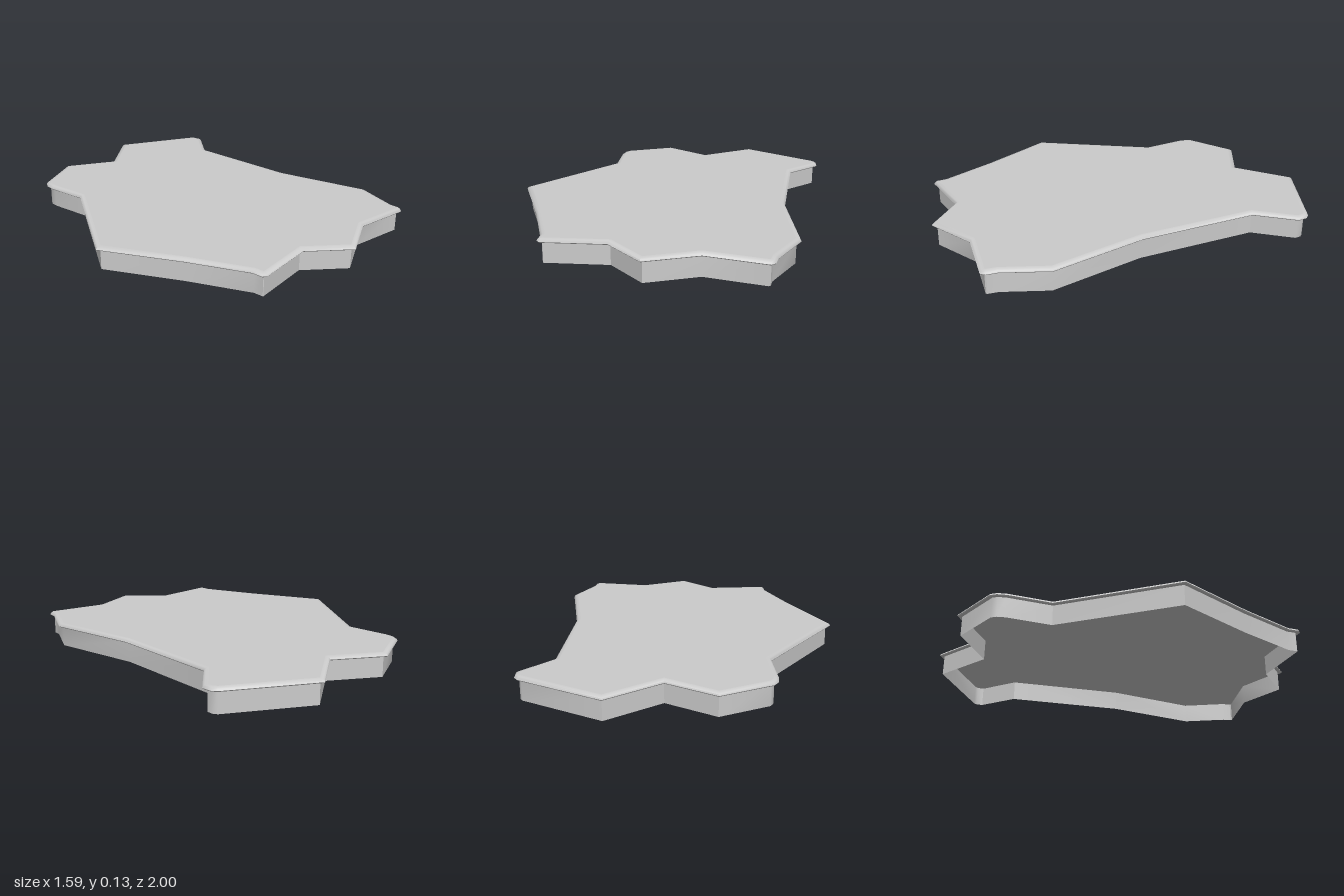
import * as THREE from 'three';
import { toCreasedNormals } from 'three/addons/utils/BufferGeometryUtils.js';

// Outline of the slab, as [x, z], clockwise seen from above
const outline = [
  [-0.18, -0.93], [0.075, -0.79], [0.335, -1], [0.765, -0.785], [0.785, -0.76],
  [0.79, -0.71], [0.64, -0.53], [0.65, 0.105], [0.76, 0.61], [0.67, 0.84],
  [0.665, 0.895], [0.645, 0.915], [0.335, 0.875], [0.08, 1], [-0.115, 0.83],
  [-0.435, 0.87], [-0.452, 0.855], [-0.455, 0.8], [-0.59, 0.5], [-0.795, 0.105],
  [-0.435, -0.475], [-0.46, -0.705], [-0.455, -0.755], [-0.435, -0.79],
].map(([x, z]) => new THREE.Vector2(x, z));

// Move every side of the outline inwards by d, with mitred corners
function inset(d) {
  const n = outline.length;
  const normal = (a, b) => new THREE.Vector2(b.y - a.y, a.x - b.x).normalize();
  return outline.map((p, i) => {
    const n1 = normal(outline[(i + n - 1) % n], p);
    const n2 = normal(p, outline[(i + 1) % n]);
    const miter = n1.clone().add(n2);
    return p.clone().addScaledVector(miter, -d / (1 + n1.dot(n2)));
  });
}

// Skin a band around the outline; profile lists [inset, height] from bottom to top
function band(profile, crease) {
  const rings = profile.map(([d, y]) => inset(d).map((p) => [p.x, y, p.y]));
  const positions = [];
  for (let r = 0; r < rings.length - 1; r++) {
    const low = rings[r], high = rings[r + 1];
    for (let i = 0; i < low.length; i++) {
      const j = (i + 1) % low.length;
      positions.push(...low[i], ...high[i], ...low[j], ...low[j], ...high[i], ...high[j]);
    }
  }
  const geometry = new THREE.BufferGeometry();
  geometry.setAttribute('position', new THREE.Float32BufferAttribute(positions, 3));
  return toCreasedNormals(geometry, crease);
}

// Flat sheet filling the outline
function sheet(d, y) {
  const shape = new THREE.Shape(inset(d).map((p) => new THREE.Vector2(p.x, -p.y)));
  return new THREE.ShapeGeometry(shape).rotateX(-Math.PI / 2).translate(0, y, 0);
}

export function createModel() {
  const group = new THREE.Group();
  const material = new THREE.MeshStandardMaterial({ color: 0xcccccc, side: THREE.DoubleSide });
  const add = (name, geometry) => {
    const mesh = new THREE.Mesh(geometry, material);
    mesh.name = name;
    group.add(mesh);
  };

  const wallInset = 0.022, wallTop = 0.11;
  // Thin skirt, open underneath
  add('sideWall', band([[wallInset, 0], [wallInset, wallTop]], 0.6));
  // Rounded lip overhanging the wall
  add('rim', band([
    [wallInset, wallTop], [0.004, 0.108], [0, 0.113], [0.003, 0.12],
    [0.011, 0.126], [0.025, 0.128],
  ], 0.9));
  add('topSurface', sheet(0.025, 0.128));
  add('underside', sheet(wallInset, wallTop));
  return group;
}
